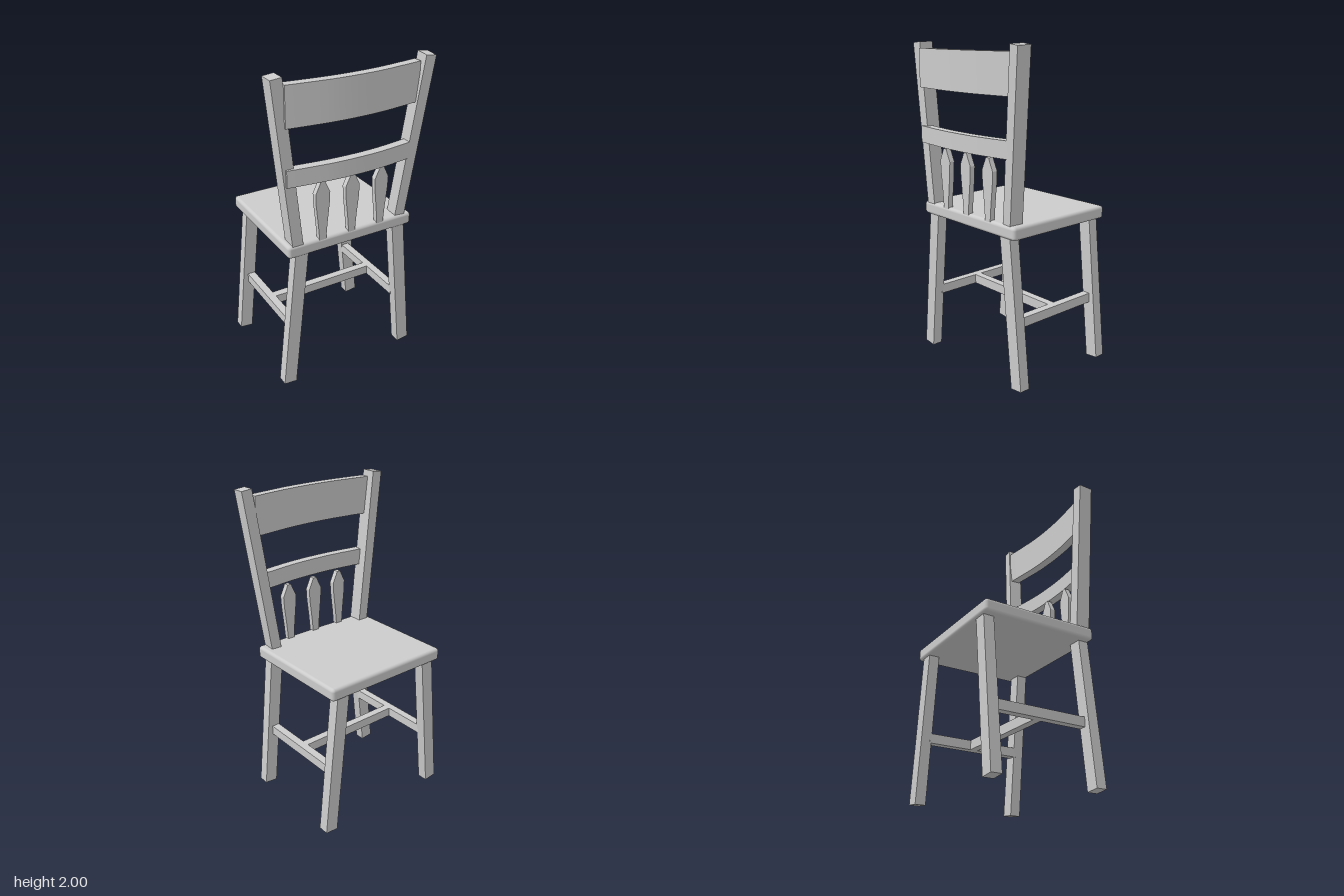
import * as THREE from 'three';
import { RoundedBoxGeometry } from 'three/addons/geometries/RoundedBoxGeometry.js';
import { toCreasedNormals } from 'three/addons/utils/BufferGeometryUtils.js';

const material = new THREE.MeshStandardMaterial({ color: 0xcccccc });

export function createModel() {
  const chair = new THREE.Group();
  chair.name = 'chair';

  function add(name, geometry, x = 0, y = 0, z = 0) {
    const mesh = new THREE.Mesh(geometry, material);
    mesh.name = name;
    mesh.position.set(x, y, z);
    chair.add(mesh);
    return mesh;
  }

  // Square-ended bar between two points, optionally twisted about its length
  function bar(name, from, to, width, depth, twist = 0) {
    const a = new THREE.Vector3(...from);
    const b = new THREE.Vector3(...to);
    const mesh = add(name, new THREE.BoxGeometry(width, a.distanceTo(b), depth));
    mesh.position.addVectors(a, b).multiplyScalar(0.5);
    mesh.quaternion.setFromUnitVectors(new THREE.Vector3(0, 1, 0), b.sub(a).normalize());
    mesh.rotateY(twist);
  }

  // Seat with softened edges
  add('seat', new RoundedBoxGeometry(0.855, 0.08, 0.755, 3, 0.02), -0.001, 0.96, -0.022);

  // Splayed legs and the stretchers joining each side pair
  for (const side of [1, -1]) {
    const name = side > 0 ? 'left' : 'right';
    bar(name + 'BackrestLeg', [side * 0.433, 0.005, 0.313], [side * 0.336, 0.94, 0.313], 0.084, 0.067);
    bar(name + 'FrontLeg', [side * 0.433, 0.005, -0.35], [side * 0.336, 0.94, -0.35], 0.084, 0.067);
    add(name + 'SideStretcher', new THREE.BoxGeometry(0.05, 0.06, 0.62), side * 0.375, 0.4, -0.018);
  }
  add('crossStretcher', new THREE.BoxGeometry(0.72, 0.06, 0.05), 0, 0.4, -0.018);

  // Backrest posts: one upright in depth, the other leaning back and slightly twisted
  bar('rightPost', [-0.36, 0.96, 0.303], [-0.47, 1.99, 0.303], 0.069, 0.093);
  bar('leftPost', [0.346, 0.96, 0.296], [0.466, 1.993, 0.351], 0.066, 0.09, -0.07);

  // Bowed rails: a curved strip in plan, extruded upwards
  const bow = new THREE.SplineCurve([
    [-0.43, 0.333], [-0.3, 0.35], [-0.15, 0.366], [0, 0.371],
    [0.15, 0.366], [0.3, 0.348], [0.42, 0.331],
  ].map(([x, z]) => new THREE.Vector2(x, z)));
  function rail(name, bottom, top) {
    const mid = bow.getPoints(30);
    const half = 0.0285;
    const outline = [
      ...mid.map(p => new THREE.Vector2(p.x, -p.y - half)),
      ...mid.reverse().map(p => new THREE.Vector2(p.x, -p.y + half)),
    ];
    const geometry = new THREE.ExtrudeGeometry(new THREE.Shape(outline), {
      depth: top - bottom, bevelEnabled: false,
    });
    geometry.rotateX(-Math.PI / 2);
    add(name, toCreasedNormals(geometry, 0.5), 0, bottom, 0);
  }
  rail('topRail', 1.72, 1.955);
  rail('lowerRail', 1.38, 1.483);

  // Flat arrow-shaped spindles
  const profile = [[0.021, 0.98], [0.03, 1.09], [0.044, 1.22], [0.047, 1.29], [0.021, 1.345], [0.013, 1.365]];
  const spindleShape = new THREE.Shape([
    ...profile.map(([x, y]) => new THREE.Vector2(x, y)),
    ...profile.slice().reverse().map(([x, y]) => new THREE.Vector2(-x, y)),
  ]);
  const spindle = new THREE.ExtrudeGeometry(spindleShape, { depth: 0.034, bevelEnabled: false });
  [-0.202, -0.005, 0.195].forEach((x, i) => add('spindle' + (i + 1), spindle, x, 0, 0.319));

  return chair;
}
